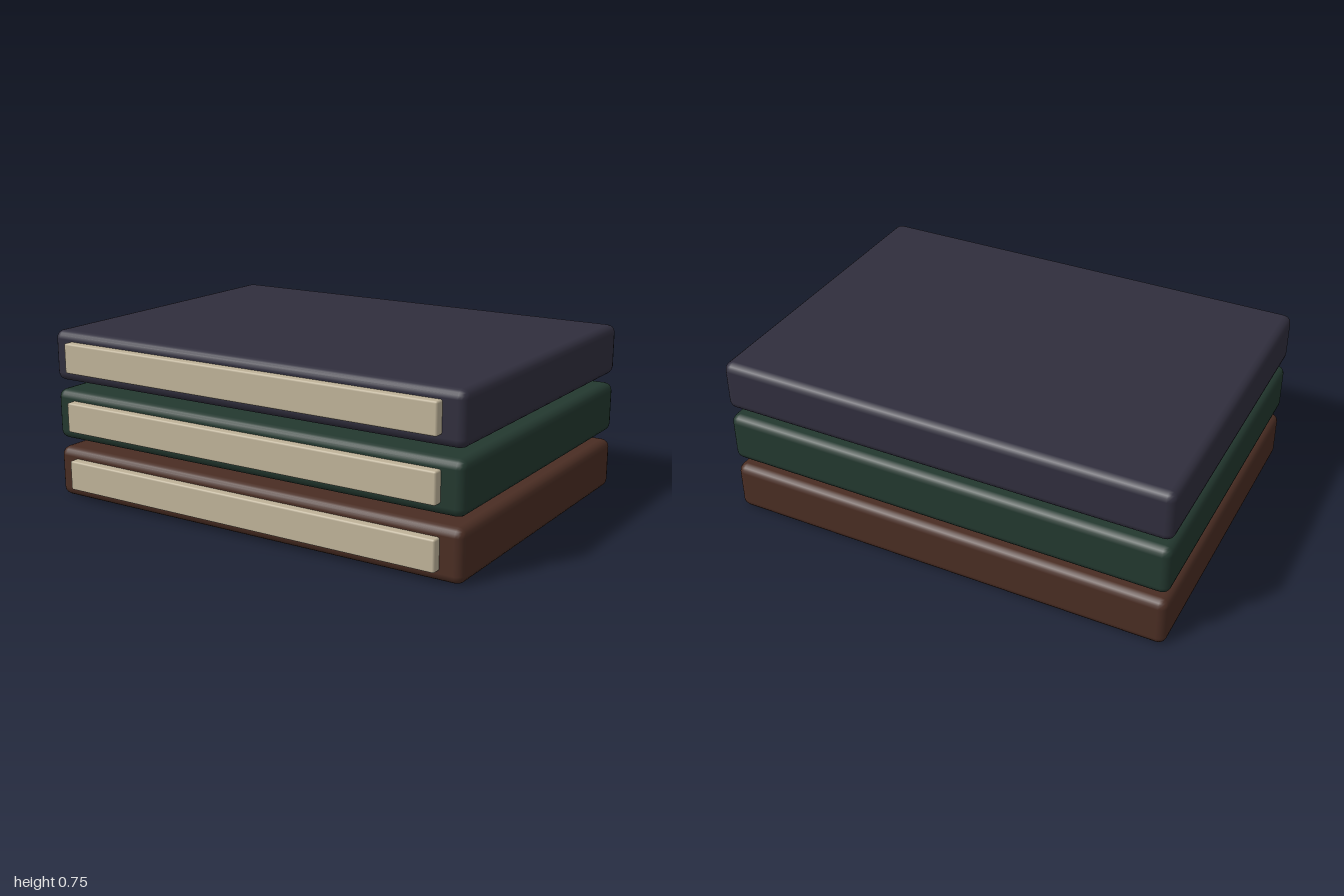
import * as THREE from 'three';
import { RoundedBoxGeometry } from 'three/addons/geometries/RoundedBoxGeometry.js';

const material = (name, color) => {
  const m = new THREE.MeshStandardMaterial({ color });
  m.name = name;
  return m;
};

export function createModel() {
  const group = new THREE.Group();
  group.name = 'bookStack';

  const pageMaterial = material('cream paper', 0xbfb399);
  const covers = [
    material('brown leather', 0x4a2d23),
    material('green leather', 0x23382f),
    material('navy leather', 0x302e3d),
  ];

  // Sizes shared by every book
  const height = 0.222, pitch = 0.262;
  const coverGeometry = new RoundedBoxGeometry(2, height, 1.44, 2, 0.036);
  const pageGeometry = new RoundedBoxGeometry(1.81, 0.132, 1.38, 1, 0.008);

  covers.forEach((coverMaterial, i) => {
    const book = new THREE.Group();
    book.name = 'book' + (i + 1);
    book.position.y = height / 2 + i * pitch;

    // Closed cover, set back so the pages show at the front
    const cover = new THREE.Mesh(coverGeometry, coverMaterial);
    cover.name = 'cover';
    cover.position.z = -0.02;

    // Page block, standing proud of the front edge
    const pages = new THREE.Mesh(pageGeometry, pageMaterial);
    pages.name = 'pages';
    pages.position.set(0, 0.003, 0.05);

    book.add(cover, pages);
    group.add(book);
  });

  return group;
}
